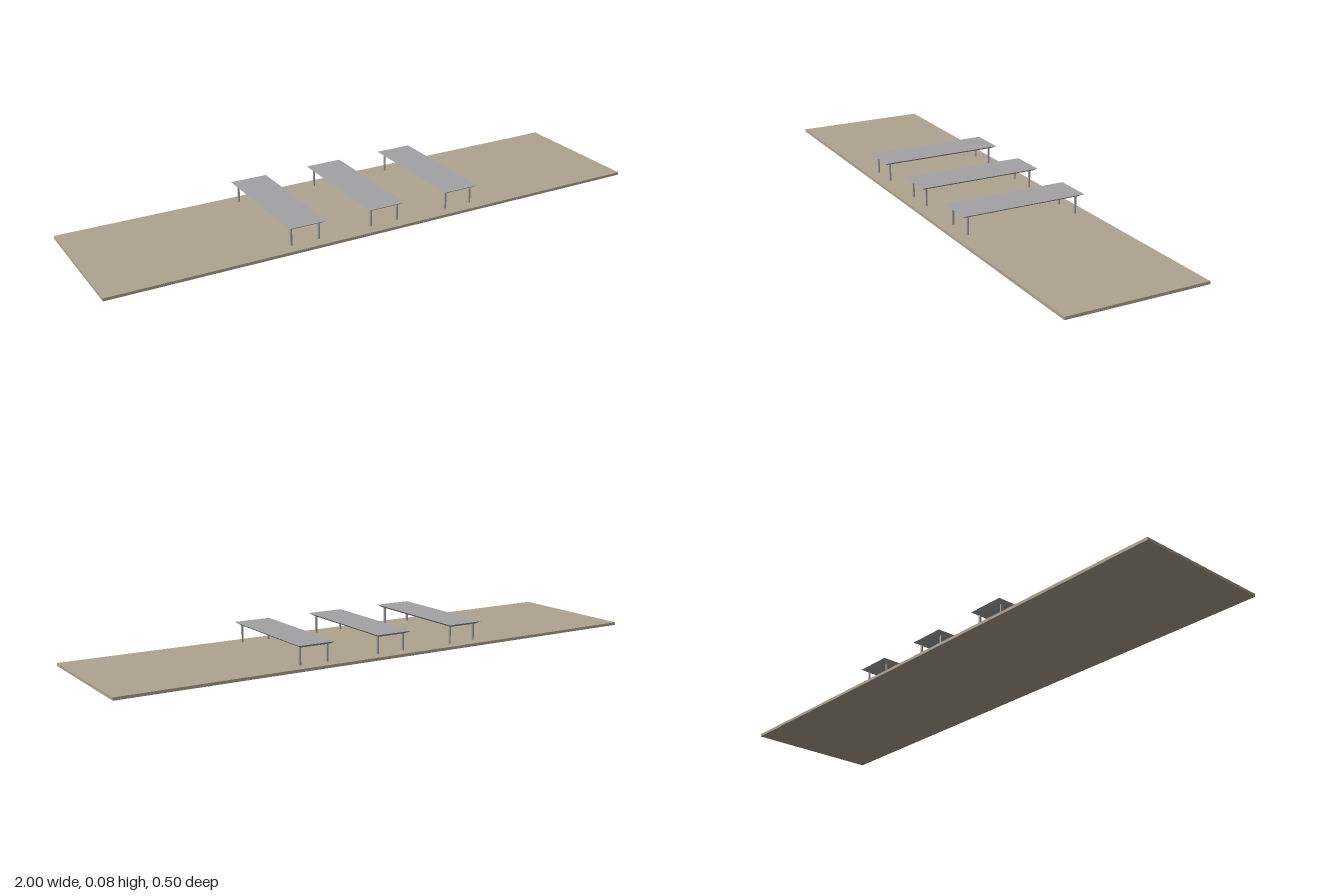
import * as THREE from 'three';

export function createModel() {
  const model = new THREE.Group();
  model.name = 'shelteredPlatform';

  const paving = new THREE.MeshStandardMaterial({ name: 'tan paving', color: 0xb0a28f });
  const roofing = new THREE.MeshStandardMaterial({ name: 'grey metal', color: 0xa2a3a5 });

  function addBox(parent, name, size, position, material) {
    const mesh = new THREE.Mesh(new THREE.BoxGeometry(...size), material);
    mesh.name = name;
    mesh.position.set(...position);
    parent.add(mesh);
    return mesh;
  }

  // Ground slab
  addBox(model, 'slab', [2, 0.01, 0.5], [0, 0.005, 0], paving);

  // Roof: a thin box whose lower face is drawn in, so the edges slope under
  const roofGeometry = new THREE.BoxGeometry(0.136, 0.009, 0.454);
  const p = roofGeometry.attributes.position;
  for (let i = 0; i < p.count; i++) {
    if (p.getY(i) < 0) {
      p.setX(i, Math.sign(p.getX(i)) * 0.054);
      p.setZ(i, Math.sign(p.getZ(i)) * 0.213);
    }
  }
  roofGeometry.computeVertexNormals();

  // Three shelters, each a roof on four corner posts
  for (const x of [-0.3, 0, 0.3]) {
    const shelter = new THREE.Group();
    shelter.name = 'shelter';
    shelter.position.x = x;

    const roof = new THREE.Mesh(roofGeometry, roofing);
    roof.name = 'roof';
    roof.position.y = 0.0755;
    shelter.add(roof);

    for (const sx of [-1, 1]) {
      for (const sz of [-1, 1]) {
        addBox(shelter, 'post', [0.006, 0.062, 0.006], [sx * 0.051, 0.041, sz * 0.203], roofing);
      }
    }
    model.add(shelter);
  }

  return model;
}
